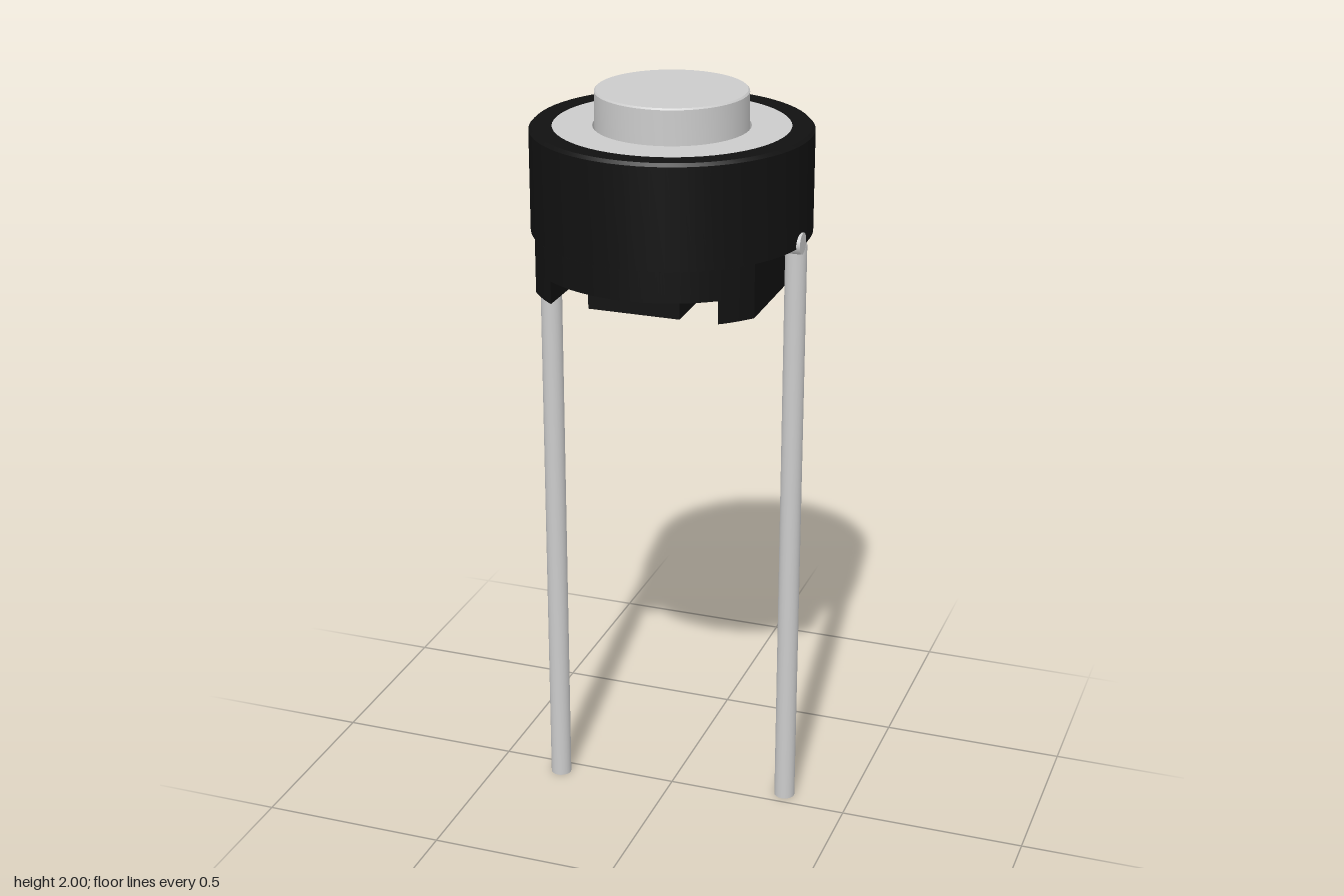
import * as THREE from 'three';
import { toCreasedNormals } from 'three/addons/utils/BufferGeometryUtils.js';

const R = 0.36;        // housing radius
const CHORD = 0.29;    // flat sides of the lower housing
const LEAD_R = 0.028;

export function createModel() {
  const group = new THREE.Group();
  const black = new THREE.MeshStandardMaterial({ color: 0x111111 });
  const grey = new THREE.MeshStandardMaterial({ color: 0xcccccc });

  const add = (name, geometry, material, parent = group) => {
    const mesh = new THREE.Mesh(geometry, material);
    mesh.name = name;
    parent.add(mesh);
    return mesh;
  };
  const lathe = (points) => toCreasedNormals(
    new THREE.LatheGeometry(points.map(([x, y]) => new THREE.Vector2(x, y)), 64), 0.5);
  // Plan shape raised from y0 to y1
  const slab = (shape, y0, y1) => {
    const g = new THREE.ExtrudeGeometry(shape, { depth: y1 - y0, bevelEnabled: false, curveSegments: 48 });
    g.rotateX(-Math.PI / 2).translate(0, y0, 0);
    return toCreasedNormals(g, 0.5);
  };
  const hole = (r) => new THREE.Path().absarc(0, 0, r, 0, Math.PI * 2, true);

  // Round upper housing with a recessed seat inside its rim
  add('upperHousing', lathe([
    [0, 1.64], [R, 1.64], [R, 1.902], [0.352, 1.91], [0.302, 1.91], [0.302, 1.85], [0, 1.85],
  ]), black);

  // Lower housing, cut flat on both sides for the leads
  const a = Math.acos(CHORD / R);
  const lower = new THREE.Shape();
  lower.absarc(0, 0, R, a, Math.PI - a);
  lower.absarc(0, 0, R, Math.PI + a, Math.PI * 2 - a);
  lower.closePath();
  add('lowerHousing', slab(lower, 1.56, 1.64), black);

  // Central foot with a round socket
  const foot = new THREE.Shape();
  foot.moveTo(-0.12, -0.285).lineTo(0.12, -0.285).lineTo(0.12, 0.285).lineTo(-0.12, 0.285).closePath();
  foot.holes.push(hole(0.1));
  add('centralFoot', slab(foot, 1.5, 1.56), black);

  // Side feet, following the round outline at their ends
  const b = Math.acos(0.22 / R);
  const rail = new THREE.Shape();
  rail.absarc(0, 0, R, -b, -a);
  rail.absarc(0, 0, R, a, b);
  rail.closePath();
  for (const turn of [0, Math.PI]) {
    add('sideFoot', slab(rail, 1.5, 1.56).rotateY(turn), black);
  }

  // Cover plate and push button
  const plate = new THREE.Shape().absarc(0, 0, 0.302, 0, Math.PI * 2);
  plate.holes.push(hole(0.2));
  add('coverPlate', slab(plate, 1.86, 1.908), grey);
  add('button', lathe([[0, 1.85], [0.195, 1.85], [0.195, 1.996], [0.191, 2], [0, 2]]), grey);

  // Bent lead and short pin on each side, turned half round
  for (const turn of [0, Math.PI]) {
    const side = new THREE.Group();
    side.name = 'terminal';
    side.rotation.y = turn;
    group.add(side);
    add('lead', new THREE.CylinderGeometry(LEAD_R, LEAD_R, 1.61, 20), grey, side).position.set(0.318, 0.805, -0.045);
    add('leadElbow', new THREE.SphereGeometry(LEAD_R, 20, 12), grey, side).position.set(0.318, 1.61, -0.045);
    const inner = add('leadRoot', new THREE.CylinderGeometry(LEAD_R, LEAD_R, 0.08, 20), grey, side);
    inner.position.set(0.278, 1.61, -0.045);
    inner.rotation.z = Math.PI / 2;
    const pin = add('pin', new THREE.CylinderGeometry(LEAD_R, LEAD_R, 0.162, 12), grey, side);
    pin.position.set(0.281, 1.648, 0.046);
    pin.rotation.z = Math.PI / 2;
  }
  return group;
}
